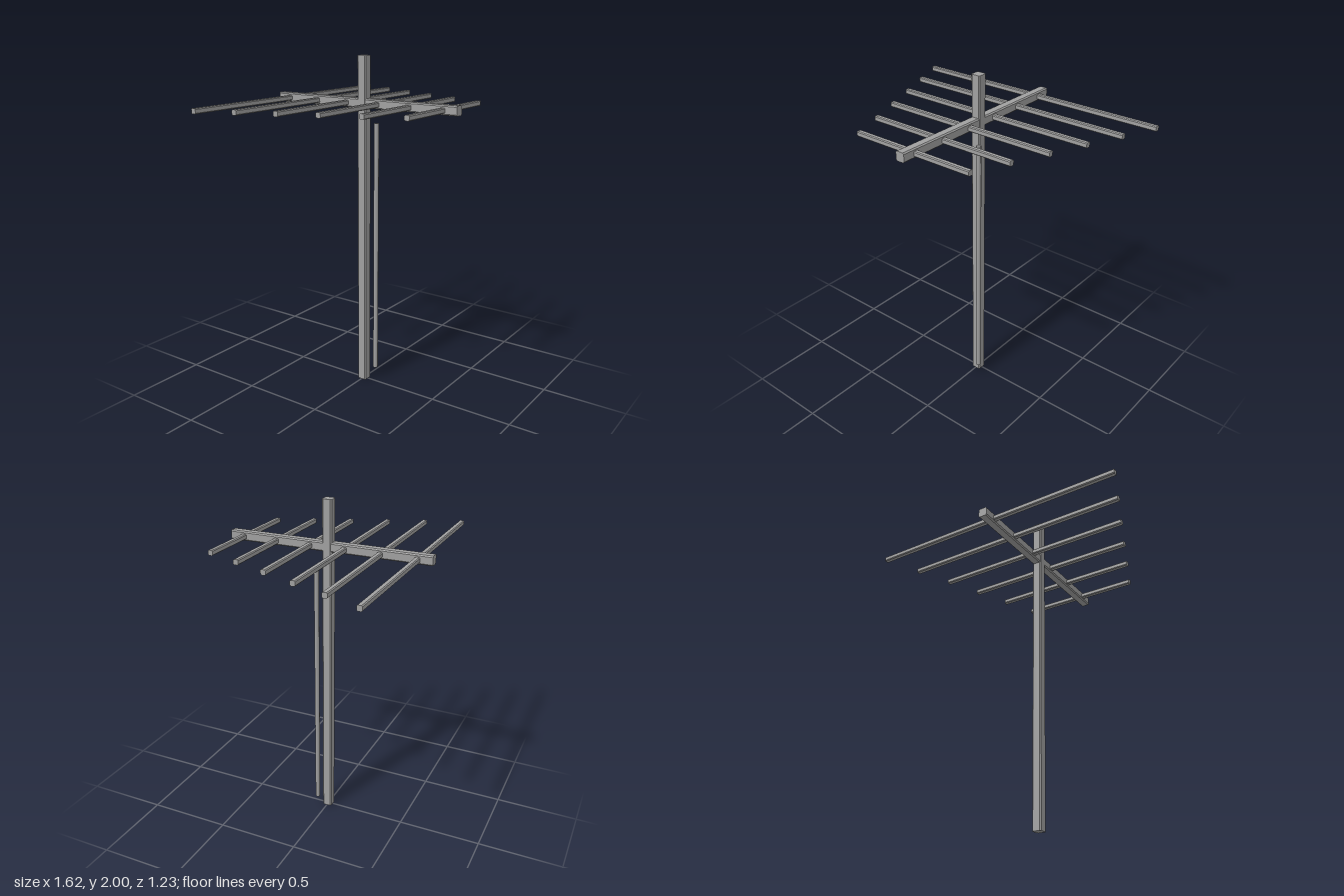
import * as THREE from 'three';

export function createModel() {
  const group = new THREE.Group();
  group.name = 'antenna';
  const metal = new THREE.MeshStandardMaterial({ color: 0xa0a0a0 });
  metal.name = 'grey metal';

  // Square bar with slightly chamfered long edges, centred, running along z
  function bar(name, width, length, chamfer) {
    const h = width / 2, c = h - chamfer;
    const section = new THREE.Shape([
      [c, -h], [h, -c], [h, c], [c, h], [-c, h], [-h, c], [-h, -c], [-c, -h],
    ].map(([x, y]) => new THREE.Vector2(x, y)));
    const geometry = new THREE.ExtrudeGeometry(section, { depth: length, bevelEnabled: false });
    geometry.translate(0, 0, -length / 2);
    const mesh = new THREE.Mesh(geometry, metal);
    mesh.name = name;
    group.add(mesh);
    return mesh;
  }

  // Upright mast
  const mast = bar('mast', 0.058, 2, 0.007);
  mast.rotation.x = -Math.PI / 2;
  mast.position.y = 1;

  // Horizontal boom through the mast
  const boom = bar('boom', 0.055, 1.232, 0.007);
  boom.position.y = 1.732;

  // Six cross rods, longest at the back
  for (let i = 0; i < 6; i++) {
    const rod = bar('crossRod' + (i + 1), 0.03, 2 * (0.812 - 0.0852 * i), 0.005);
    rod.rotation.y = Math.PI / 2;
    rod.position.set(0, 1.73, -0.53 + 0.212 * i);
  }

  // Thin cable conduit beside the mast
  const cable = new THREE.Mesh(new THREE.CylinderGeometry(0.015, 0.015, 1.545, 8), metal);
  cable.name = 'cable';
  cable.position.set(0.046, 0.842, 0.055);
  group.add(cable);

  return group;
}
